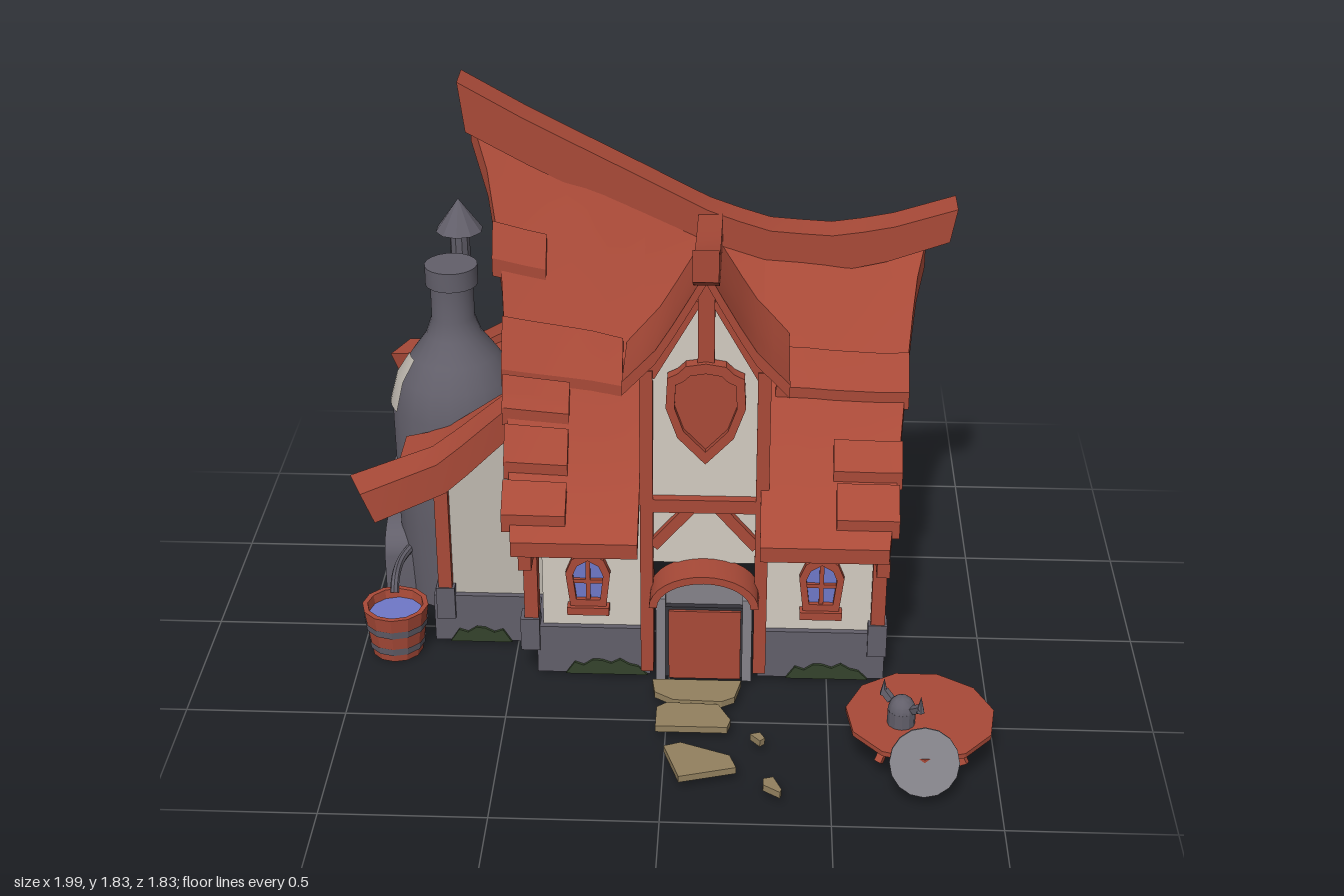
import * as THREE from 'three';
import { toCreasedNormals } from 'three/addons/utils/BufferGeometryUtils.js';

const material = (name, color, side = THREE.FrontSide) => {
  const m = new THREE.MeshStandardMaterial({ color, side });
  m.name = name;
  return m;
};
const V = (x, y, z) => new THREE.Vector3(x, y, z);
const lerp = THREE.MathUtils.lerp;

// piecewise-linear curve through [x, y] pairs
const table = (pts) => (x) => {
  let i = 1;
  while (i < pts.length - 1 && x > pts[i][0]) i++;
  const [a, b] = [pts[i - 1], pts[i]];
  return lerp(a[1], b[1], THREE.MathUtils.clamp((x - a[0]) / (b[0] - a[0]), 0, 1));
};
const ridgeTop = table([[-0.66, 1.83], [-0.45, 1.71], [-0.1, 1.53], [0.1, 1.425], [0.28, 1.36], [0.48, 1.345], [0.65, 1.37], [0.87, 1.44]]);
const ridgeDrop = table([[-0.62, 0.1], [-0.25, 0.025], [0.45, 0.025], [0.78, 0.1]]);
const slopeShape = table([[0, 1], [0.2, 0.75], [0.4, 0.52], [0.6, 0.3], [0.8, 0.12], [1, 0]]);
const leftEdge = table([[0, -0.63], [0.12, -0.565], [0.31, -0.525], [0.6, -0.5], [1, -0.475]]);
const rightEdge = table([[0, 0.78], [0.12, 0.75], [0.31, 0.73], [0.45, 0.717], [1, 0.67]]);
const dormerTop = table([[-0.2, 1.41], [0.08, 1.435], [0.27, 1.475], [0.4, 1.55]]);
const dormerFall = table([[0, 0], [0.2, 0.25], [0.56, 0.68], [1, 1]]);
const annexTop = table([[-1, 0.66], [-0.74, 0.72], [-0.58, 0.83], [-0.46, 0.91]]);

// main roof surface: v is -1 at the back eave, 0 at the ridge, 1 at the front eave
const roofY = (x, v) => lerp(0.59, ridgeTop(x) - ridgeDrop(x), slopeShape(Math.abs(v)));
const roofZ = (v) => -0.24 + 0.67 * v;

// solid slab whose upper face follows f(u, v), u towards x and v towards z
function slab(f, nu, nv, thick, bottomShift = () => 0) {
  const g = new THREE.BoxGeometry(1, 1, 1, nu, 1, nv), p = g.attributes.position;
  for (let i = 0; i < p.count; i++) {
    const u = p.getX(i) + 0.5, v = p.getZ(i) + 0.5, q = f(u, v);
    if (p.getY(i) < 0) {
      q.y -= typeof thick === 'function' ? thick(u, v) : thick;
      q.x += bottomShift(u);
    }
    p.setXYZ(i, q.x, q.y, q.z);
  }
  return g;
}
const poly = (pts) => new THREE.Shape(pts.map(([x, y]) => new THREE.Vector2(x, y)));
const extrude = (shape, depth) => new THREE.ExtrudeGeometry(shape, { depth, bevelEnabled: false, curveSegments: 8 });
function archShape(cx, w, y0, spring, top) {
  const s = new THREE.Shape();
  s.moveTo(cx - w, y0).lineTo(cx + w, y0).lineTo(cx + w, spring);
  s.absellipse(cx, spring, w, top - spring, 0, Math.PI, false);
  return s;
}

export function createModel() {
  const root = new THREE.Group();
  root.name = 'cottage';
  const red = material('red timber', 0xa94a38);
  const paleFront = material('bright plaster', 0xd3cbc1, THREE.DoubleSide);
  const plaster = material('pale plaster', 0xbeb8af, THREE.DoubleSide);
  const tan = material('tan plaster', 0x93815f, THREE.DoubleSide);
  const stone = material('grey stone', 0x625f6a, THREE.DoubleSide);
  const light = material('light grey', 0x85838a);
  const blue = material('blue glass', 0x6f78c8);
  const green = material('dark moss', 0x34432c);
  const dark = material('dark iron', 0x35343a);

  const add = (name, geo, mat, x = 0, y = 0, z = 0) => {
    const m = new THREE.Mesh(toCreasedNormals(geo, 0.5), mat);
    m.name = name;
    m.position.set(x, y, z);
    root.add(m);
    return m;
  };
  const box = (name, mat, x0, x1, y0, y1, z0, z1) =>
    add(name, new THREE.BoxGeometry(x1 - x0, y1 - y0, z1 - z0), mat, (x0 + x1) / 2, (y0 + y1) / 2, (z0 + z1) / 2);
  const bar = (name, mat, a, b, w, d) => {
    const m = add(name, new THREE.BoxGeometry(a.distanceTo(b), w, d), mat);
    m.position.copy(a).lerp(b, 0.5);
    m.quaternion.setFromUnitVectors(V(1, 0, 0), b.clone().sub(a).normalize());
  };

  // foundations, open underneath
  for (const [x0, x1, z0, z1] of [[-0.42, -0.06, 0.18, 0.26], [0.28, 0.68, 0.18, 0.26], [-0.42, 0.68, -0.73, -0.65], [0.6, 0.68, -0.73, 0.26],
    [-0.42, -0.36, -0.73, 0.26], [-0.77, -0.42, 0.03, 0.09], [-0.77, -0.42, -0.62, -0.56], [-0.77, -0.71, -0.62, 0.09]])
    box('foundation', stone, x0, x1, 0.01, 0.18, z0, z1);
  for (const [x, z] of [[-0.44, 0.24], [0.655, 0.235], [-0.73, 0.07], [-0.73, -0.6]])
    box('cornerStone', stone, x - 0.03, x + 0.03, 0.1, 0.215, z - 0.03, z + 0.035);

  // walls
  box('frontWall', paleFront, -0.4, -0.06, 0.18, 0.66, 0.23, 0.24);
  box('frontWall', paleFront, 0.28, 0.66, 0.18, 0.66, 0.23, 0.24);
  box('backWall', plaster, -0.4, 0.66, 0.18, 0.66, -0.71, -0.7);
  for (const x of [0.655, -0.4]) {
    const pts = [[-0.71, 0.18]];
    for (let i = -7; i <= 7; i++) pts.push([roofZ(i / 10) - (i === 7 ? -0.01 : 0), roofY(x, i / 10) - 0.04]);
    pts.push([0.24, 0.18]);
    add('gableWall', new THREE.ShapeGeometry(poly(pts)).rotateY(-Math.PI / 2), tan, x);
  }
  for (const x of [-0.215, 0.12, 0.455])
    add('backWindow', extrude(poly([[-0.045, 0.28], [0.045, 0.28], [0.055, 0.33], [0.045, 0.37], [0.06, 0.42], [0.055, 0.47], [0.025, 0.51],
      [-0.025, 0.51], [-0.055, 0.47], [-0.06, 0.42], [-0.045, 0.37], [-0.055, 0.33]]), 0.008), tan, x, 0, -0.717);
  box('gableTie', red, 0.655, 0.668, 0.935, 0.97, -0.47, 0);
  for (const z of [-0.48, 0.0]) box('gableTieEnd', red, 0.655, 0.668, 0.89, 0.945, z - 0.025, z + 0.025);

  // main roof: back slope, two front slopes and the strip behind the dormer
  const roofThick = (v) => lerp(0.09, 0.05, Math.abs(v));
  const roof = (name, x0, x1, v0, v1, lift = 0, thick = null) => {
    const at = (x, v) => (typeof x === 'function' ? x(Math.abs(v)) : x);
    add(name, slab((u, w) => {
      const v = lerp(v0, v1, w), x = lerp(at(x0, v), at(x1, v), u);
      return V(x, roofY(x, v) + lift, roofZ(v));
    }, 8, 10, thick ?? ((u, w) => roofThick(lerp(v0, v1, w)))), red);
  };
  roof('backRoof', leftEdge, rightEdge, -1, 0);
  roof('frontRoofLeft', leftEdge, -0.09, 0, 1);
  roof('frontRoofRight', 0.28, rightEdge, 0, 1);
  roof('frontRoofMiddle', -0.09, 0.28, 0, 0.5);
  for (const [x0, x1, v0, v1] of [
    [-0.555, -0.39, 0.22, 0.3], [-0.52, -0.15, 0.42, 0.54], [-0.515, -0.31, 0.55, 0.63], [-0.505, -0.31, 0.67, 0.77], [-0.505, -0.31, 0.82, 0.94],
    [0.32, 0.73, 0.35, 0.47], [0.5, 0.71, 0.62, 0.73], [0.51, 0.7, 0.77, 0.92]])
    roof('roofShingle', x0, x1, v0, v1, 0.035, 0.06);
  add('ridgeBeam', slab((u, v) => {
    const x = lerp(-0.66, 0.87, u);
    return V(x, ridgeTop(x), -0.245 + 0.115 * (v - 0.5));
  }, 16, 1, (u) => lerp(0.16, 0.11, u), (u) => lerp(0.02, -0.02, u)), red);

  // dormer
  add('dormerRoof', slab((u, v) => {
    const s = u * 2 - 1, z = lerp(-0.2, 0.3, v);
    return V(0.11 + 0.25 * s, lerp(dormerTop(z) - 0.05, 1.075, dormerFall(Math.abs(s))), z);
  }, 10, 5, 0.045), red);
  add('dormerRidgeBeam', slab((u, v) => {
    const z = lerp(-0.2, 0.4, v);
    return V(0.072 + 0.076 * u, dormerTop(z), z);
  }, 1, 8, 0.1), red);
  add('dormerWall', extrude(poly([[-0.07, 0.42], [0.29, 0.42], [0.29, 1.06], [0.21, 1.22], [0.11, 1.4], [0.01, 1.22], [-0.07, 1.06]]), 0.01), paleFront, 0, 0, 0.235);
  for (const x of [-0.07, 0.28]) box('dormerSideWall', tan, x, x + 0.01, 0.45, 1.1, -0.1, 0.24);
  for (const x of [-0.07, 0.285]) box('dormerPost', red, x - 0.02, x + 0.02, 0.03, 1.1, 0.2, 0.275);
  box('dormerCenterPost', red, 0.085, 0.135, 1.1, 1.4, 0.24, 0.275);
  box('dormerTieBeam', red, -0.06, 0.28, 0.615, 0.66, 0.24, 0.275);
  for (const s of [-1, 1]) {
    bar('doorBrace', red, V(0.11 + s * 0.16, 0.49, 0.255), V(0.11 + s * 0.04, 0.63, 0.255), 0.035, 0.03);
    bar('dormerRafter', red, V(0.11 + s * 0.17, 1.08, 0.255), V(0.11 + s * 0.03, 1.33, 0.255), 0.035, 0.03);
  }

  // plain wall shield
  const shieldOutline = (k) => [[0, 0.15], [0.06, 0.14], [0.085, 0.115], [0.115, 0.1], [0.12, 0], [0.085, -0.1], [0, -0.19],
    [-0.085, -0.1], [-0.12, 0], [-0.115, 0.1], [-0.085, 0.115], [-0.06, 0.14]].map(([x, y]) => [x * k, y * k]).reverse();
  const rim = poly(shieldOutline(1));
  rim.holes.push(poly(shieldOutline(0.78)));
  add('wallShieldRim', extrude(rim, 0.04), red, 0.11, 0.985, 0.25);
  add('wallShieldPanel', extrude(poly(shieldOutline(0.8)), 0.02), red, 0.11, 0.985, 0.25);

  // corner posts and eave brackets
  for (const [x, z, top] of [[-0.435, 0.235, 0.56], [0.655, 0.235, 0.6], [-0.73, 0.07, 0.68], [-0.73, -0.6, 0.68]])
    box('cornerPost', red, x - 0.022, x + 0.022, 0.2, top, z - 0.03, z + 0.03);
  for (const x of [-0.435, 0.655]) box('eaveBracket', red, x - 0.02, x + 0.02, 0.48, 0.53, 0.17, 0.41);

  // door and porch
  const archBand = new THREE.Shape();
  archBand.absellipse(0.11, 0.32, 0.17, 0.115, 0, Math.PI, false);
  archBand.absellipse(0.11, 0.32, 0.145, 0.09, Math.PI, 0, true);
  add('porchArch', extrude(archBand, 0.12), red, 0, 0, 0.235);
  add('porchFill', extrude(archShape(0.11, 0.145, 0.03, 0.32, 0.41), 0.03), light, 0, 0, 0.25);
  for (const x of [-0.04, 0.23]) box('porchJamb', light, x, x + 0.03, 0.03, 0.33, 0.24, 0.32);
  box('doorFrame', dark, -0.01, 0.235, 0.03, 0.29, 0.27, 0.3);
  box('door', red, 0, 0.225, 0.03, 0.28, 0.29, 0.31);

  // front windows
  const windowOutline = (k) => [[-0.055, -0.11], [0.055, -0.11], [0.07, 0.02], [0.05, 0.07], [0, 0.1], [-0.05, 0.07], [-0.07, 0.02]]
    .map(([x, y]) => [x * k, y * k]);
  for (const x of [-0.255, 0.475]) {
    const frame = poly(windowOutline(1));
    frame.holes.push(poly(windowOutline(0.68)));
    add('windowFrame', extrude(frame, 0.025), red, x, 0.36, 0.238);
    add('windowGlass', extrude(poly(windowOutline(0.8)), 0.007), blue, x, 0.36, 0.24);
    add('windowBack', extrude(poly(windowOutline(1)), 0.005), tan, x, 0.36, 0.224);
    box('windowSill', red, x - 0.066, x + 0.066, 0.235, 0.262, 0.235, 0.275);
    box('windowMullion', red, x - 0.007, x + 0.007, 0.265, 0.44, 0.24, 0.258);
    box('windowCrossbar', red, x - 0.05, x + 0.05, 0.343, 0.356, 0.24, 0.258);
  }

  // left annex with flared roof boards
  for (const s of [-1, 1]) {
    add('annexWall', new THREE.ShapeGeometry(poly([[-0.75, 0.18], [-0.4, 0.18], [-0.4, 0.88], [-0.58, 0.77], [-0.75, 0.66]])), plaster, 0, 0, -0.265 + s * 0.335);
    add('annexRoofBoard', slab((u, v) => {
      const x = lerp(-1, -0.42, u), outer = s > 0 ? v : 1 - v;
      return V(x + 0.05 * outer * (1 - u), annexTop(x), -0.265 + s * lerp(0.485, 0.27, u) + 0.12 * (v - 0.5));
    }, 7, 1, 0.1, (u) => 0.04 * (1 - u)), red);
    add('annexRoof', slab((u, v) => {
      const x = lerp(-0.86, -0.42, u);
      return V(x, annexTop(x) - 0.03, -0.265 + s * 0.27 + 0.2 * (v - 0.5));
    }, 6, 1, 0.05), red);
  }
  box('annexSideWall', plaster, -0.75, -0.74, 0.18, 0.66, -0.6, 0.07);

  // furnace tower
  const profile = [[0.2, 0], [0.21, 0.3], [0.212, 0.7], [0.185, 0.8], [0.14, 0.87], [0.09, 0.94], [0.07, 1],
    [0.07, 1.11], [0.085, 1.115], [0.085, 1.18], [0, 1.18]].map(([x, y]) => new THREE.Vector2(x, y));
  add('furnaceTower', new THREE.LatheGeometry(profile, 20), stone, -0.72, 0, -0.3);
  const patch = profile.slice(2, 5).map((p) => new THREE.Vector2(p.x + 0.005, p.y + 0.003));
  add('plasterPatch', new THREE.LatheGeometry(patch, 4, -1.47, 0.48), plaster, -0.72, 0, -0.3);
  add('furnaceMouth', extrude(archShape(0, 0.13, 0, 0.16, 0.26), 0.14).rotateY(-Math.PI / 2), stone, -0.83, 0, -0.3);
  box('furnaceHatch', stone, -0.95, -0.88, 0.31, 0.43, -0.38, -0.22);
  const flue = new THREE.CatmullRomCurve3([V(-0.72, 0.92, -0.36), V(-0.72, 0.93, -0.48), V(-0.72, 0.99, -0.53), V(-0.72, 1.22, -0.53)]);
  add('fluePipe', new THREE.TubeGeometry(flue, 14, 0.033, 10), stone);
  add('flueCap', new THREE.ConeGeometry(0.078, 0.11, 10), stone, -0.72, 1.255, -0.53);
  const tap = new THREE.CatmullRomCurve3([V(-0.88, 0.19, -0.2), V(-0.905, 0.19, -0.1), V(-0.905, 0.19, 0.03), V(-0.905, 0.16, 0.05)]);
  add('tapPipe', new THREE.TubeGeometry(tap, 12, 0.014, 8), stone);

  // bucket
  const bucket = [[0, 0], [0.082, 0], [0.107, 0.17], [0.09, 0.17], [0.08, 0.1]].map(([x, y]) => new THREE.Vector2(x, y));
  add('bucket', new THREE.LatheGeometry(bucket, 12), red, -0.89, 0, 0.13);
  add('bucketWater', new THREE.CylinderGeometry(0.087, 0.08, 0.02, 12), blue, -0.89, 0.13, 0.13);
  for (const y of [0.04, 0.11])
    add('bucketBand', new THREE.CylinderGeometry(0.088 + 0.147 * y, 0.084 + 0.147 * y, 0.026, 12, 1, true), stone, -0.89, y, 0.13);

  // table, helmet and leaning round shield
  add('tableTop', new THREE.CylinderGeometry(0.225, 0.225, 0.016, 11), red, 0.77, 0.14, 0.645);
  for (let i = 0; i < 4; i++) {
    const a = Math.PI * (0.25 + i / 2), c = Math.cos(a), s = Math.sin(a);
    bar('tableLeg', red, V(0.77 + c * 0.13, 0.14, 0.645 + s * 0.13), V(0.77 + c * 0.18, 0.065, 0.645 + s * 0.18), 0.022, 0.022);
  }
  add('helmet', new THREE.SphereGeometry(0.042, 12, 6, 0, Math.PI * 2, 0, Math.PI / 2).scale(1, 1.1, 1), stone, 0.71, 0.195, 0.685);
  add('helmetSide', new THREE.CylinderGeometry(0.042, 0.042, 0.05, 12), stone, 0.71, 0.172, 0.685);
  for (const s of [-1, 1]) {
    bar('helmetHornBase', stone, V(0.71 + s * 0.03, 0.21, 0.685 + s * 0.025), V(0.71 + s * 0.052, 0.23, 0.685 + s * 0.045), 0.02, 0.02);
    add('helmetHorn', new THREE.ConeGeometry(0.013, 0.055, 6), stone, 0.71 + s * 0.052, 0.245, 0.685 + s * 0.045);
  }
  for (const [name, mat, r, y, z] of [['roundShield', light, 0.103, 0.135, 0.865], ['roundShieldBack', dark, 0.095, 0.132, 0.857]])
    add(name, new THREE.CylinderGeometry(r, r, 0.01, 16), mat, 0.77, y, z).rotation.x = Math.PI / 2 - 0.4;

  // stepping stones
  for (const pts of [
    [[-0.05, 0.35], [0.23, 0.35], [0.21, 0.44], [0.17, 0.465], [0.02, 0.46], [-0.04, 0.42]],
    [[-0.03, 0.5], [0, 0.475], [0.16, 0.48], [0.2, 0.56], [0.19, 0.6], [-0.03, 0.6]],
    [[0, 0.7], [0.05, 0.68], [0.2, 0.74], [0.22, 0.8], [0.05, 0.85]],
    [[0.26, 0.63], [0.29, 0.62], [0.305, 0.65], [0.29, 0.665]],
    [[0.3, 0.85], [0.33, 0.84], [0.355, 0.9], [0.35, 0.915], [0.3, 0.88]]])
    add('steppingStone', extrude(poly(pts.map(([x, z]) => [x, -z])), 0.022).rotateX(-Math.PI / 2), tan, 0, 0.03, 0);

  // moss along the foundations: width, x, z, turn
  for (const [w, x, z, turn] of [[0.26, -0.2, 0.26, 0], [0.26, 0.5, 0.26, 0], [0.34, 0.68, -0.07, 1], [0.37, 0.68, -0.53, 1],
    [0.4, 0.4, -0.73, 2], [0.3, -0.15, -0.73, 2], [0.2, -0.62, 0.09, 0]]) {
    const pts = [[w / 2, 0], [-w / 2, 0]], n = Math.round(w / 0.03);
    for (let i = 1; i < n; i++) pts.push([w * (i / n - 0.5), 0.028 + 0.022 * Math.sin(Math.PI * i / n) + 0.01 * Math.sin(i * 2.3)]);
    add('moss', extrude(poly(pts.reverse()), 0.009), green, x, 0.01, z).rotation.y = turn * Math.PI / 2;
  }
  return root;
}
